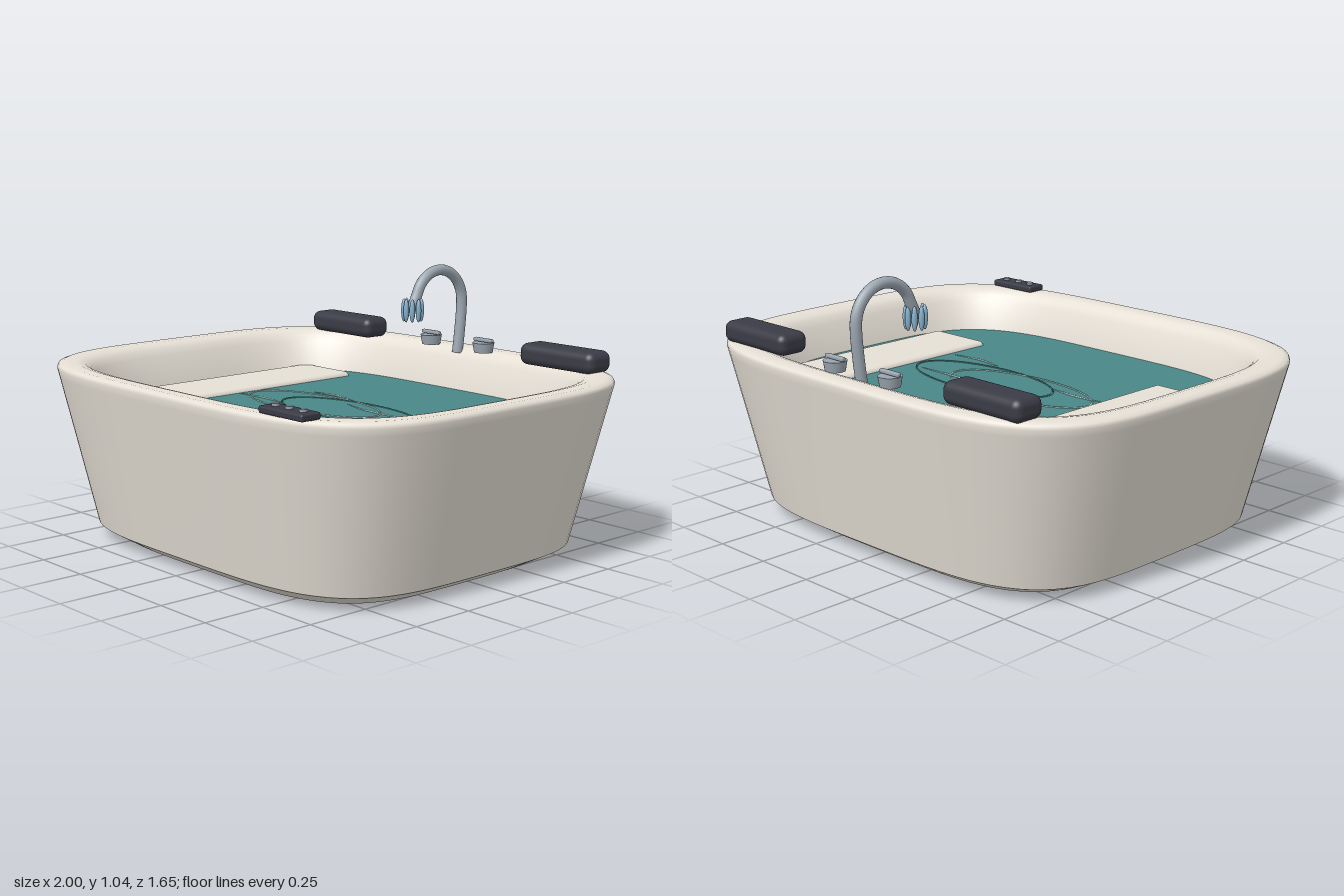
import * as THREE from 'three';
import { RoundedBoxGeometry } from 'three/addons/geometries/RoundedBoxGeometry.js';

const mat = (color, extra = {}) => new THREE.MeshStandardMaterial({ color, ...extra });
const V = (x, y, z) => new THREE.Vector3(x, y, z);
const WATER_Y = 0.53;

// Surface lofted through superellipse rings [halfWidth, halfDepth, y]; a repeated ring makes a crease
function loft(rings, segments = 128, n = 4) {
  const pos = [], index = [];
  rings.forEach(([a, b, y]) => {
    for (let j = 0; j < segments; j++) {
      const t = (j / segments) * Math.PI * 2, c = Math.cos(t), s = Math.sin(t);
      const r = Math.pow(Math.abs(c / a) ** n + Math.abs(s / b) ** n, -1 / n);
      pos.push(r * c, y, r * s);
    }
  });
  for (let i = 0; i < rings.length - 1; i++) {
    for (let j = 0; j < segments; j++) {
      const k = (j + 1) % segments;
      const p = i * segments + j, q = i * segments + k;
      index.push(p, p + segments, q, q, p + segments, q + segments);
    }
  }
  const g = new THREE.BufferGeometry();
  g.setAttribute('position', new THREE.Float32BufferAttribute(pos, 3));
  g.setIndex(index);
  g.computeVertexNormals();
  return g;
}

export function createModel() {
  const model = new THREE.Group();
  const cream = mat(0xe6e0d6), teal = mat(0x4a8787), dark = mat(0x3a3b45);
  const chrome = mat(0x9ba6b0), blue = mat(0x86b0cc), foam = mat(0xb5dedb);

  const add = (name, geometry, material, x = 0, y = 0, z = 0, parent = model) => {
    const m = new THREE.Mesh(geometry, material);
    m.name = name;
    m.position.set(x, y, z);
    parent.add(m);
    return m;
  };

  // Tub shell: underside, chamfer, outer wall, rolled rim, inner wall and floor
  add('tubShell', loft([
    [0.002, 0.002, 0], [0.76, 0.625, 0],
    [0.76, 0.625, 0], [0.857, 0.707, 0.052],
    [0.857, 0.707, 0.052], [0.93, 0.767, 0.37], [0.993, 0.82, 0.645],
    [0.999, 0.825, 0.672], [0.994, 0.82, 0.686], [0.975, 0.803, 0.694],
    [0.93, 0.76, 0.694], [0.9, 0.733, 0.687], [0.88, 0.715, 0.67],
    [0.865, 0.7, 0.645], [0.81, 0.65, WATER_Y], [0.72, 0.57, 0.16],
    [0.66, 0.51, 0.1], [0.002, 0.002, 0.1],
  ]), cream);

  // Water surface
  add('water', loft([[0.815, 0.655, WATER_Y], [0.002, 0.002, WATER_Y]]), teal);

  // Two overlapping swirl rings on the water
  for (const side of [-1, 1]) {
    const ring = add('swirlRing', new THREE.TorusGeometry(1, 0.012, 6, 96), side < 0 ? foam : teal,
      side * 0.1, WATER_Y + 0.001, -0.01);
    ring.rotation.x = Math.PI / 2;
    ring.scale.set(0.35, 0.15, 0.3);
  }

  // Foam streaks: start, middle and end in x, z, flattened and tapered
  [[-0.29, -0.17, -0.16, -0.188, -0.03, -0.165],
    [0, -0.1, 0.13, -0.07, 0.4, -0.065],
    [-0.48, 0.072, -0.33, 0.058, -0.17, 0.075],
    [0.18, 0.16, 0.31, 0.18, 0.45, 0.165]].forEach(([ax, az, bx, bz, cx, cz]) => {
    const curve = new THREE.CatmullRomCurve3([V(ax, 0, az), V(bx, 0, bz), V(cx, 0, cz)]);
    const g = new THREE.TubeGeometry(curve, 24, 0.006, 6);
    const p = g.attributes.position;
    for (let i = 0; i < p.count; i++) {
      const t = Math.floor(i / 7) / 24, mid = curve.getPointAt(t), w = Math.sin(Math.PI * t) + 0.02;
      p.setXYZ(i, mid.x + (p.getX(i) - mid.x) * w, p.getY(i) * w * 0.6, mid.z + (p.getZ(i) - mid.z) * w);
    }
    g.computeVertexNormals();
    add('foamStreak', g, foam, 0, WATER_Y + 0.001, 0);
  });

  // Seats, pillows and tap handles, mirrored left and right
  for (const side of [-1, 1]) {
    add('seat', new RoundedBoxGeometry(0.29, 0.12, 0.92, 4, 0.022), cream, side * 0.615, 0.488, -0.09);
    add('pillow', new RoundedBoxGeometry(0.37, 0.085, 0.13, 5, 0.032), dark, side * 0.615, 0.73, -0.675);

    const tap = new THREE.Group();
    tap.name = 'tapHandle';
    tap.position.set(side * 0.15, 0, -0.715);
    add('tapBase', new THREE.CylinderGeometry(0.045, 0.038, 0.04, 28), chrome, 0, 0.71, 0, tap);
    add('tapLever', new RoundedBoxGeometry(0.1, 0.016, 0.02, 3, 0.006), chrome, 0, 0.74, 0, tap);
    model.add(tap);
  }

  // Gooseneck spout
  const neck = [V(0, 0.67, -0.718), V(0, 0.76, -0.73)];
  for (let i = 0; i <= 8; i++) {
    const t = -0.1 + (i / 8) * 2.95;
    neck.push(V(0, 0.885 + Math.sin(t) * 0.138, -0.605 - Math.cos(t) * 0.135));
  }
  neck.push(V(0, 0.885, -0.455));
  add('spout', new THREE.TubeGeometry(new THREE.CatmullRomCurve3(neck), 64, 0.022, 16), chrome);
  add('spoutTip', new THREE.SphereGeometry(0.023, 16, 12), chrome, 0, 0.885, -0.455);

  // Ring of spray nozzles round the spout end
  for (let i = 0; i < 8; i++) {
    const t = (i / 8) * Math.PI * 2;
    const drop = add('sprayNozzle', new THREE.SphereGeometry(0.0115, 12, 10), blue,
      Math.cos(t) * 0.034, 0.872, -0.455 + Math.sin(t) * 0.036);
    drop.scale.y = 4.1;
  }

  // Control panel with three buttons on the front rim
  add('controlPanel', new RoundedBoxGeometry(0.225, 0.026, 0.085, 3, 0.008), dark, 0.64, 0.706, 0.745);
  for (const dx of [-0.07, 0, 0.07]) {
    add('panelButton', new THREE.CylinderGeometry(0.014, 0.014, 0.012, 20), chrome, 0.64 + dx, 0.722, 0.745);
  }

  return model;
}
